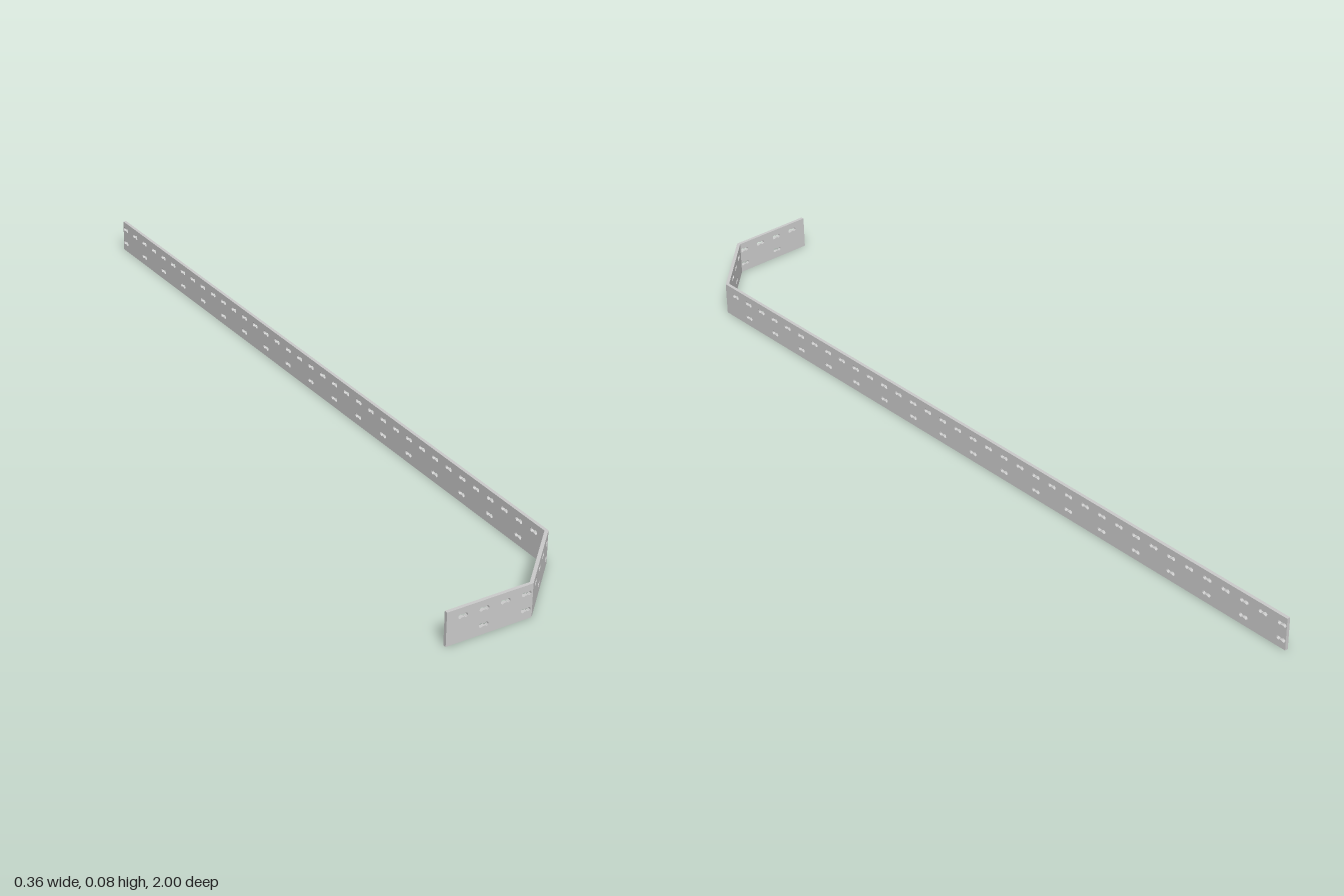
import * as THREE from 'three';

const HEIGHT = 0.08, THICK = 0.008, PITCH = 0.0514, FIRST = 0.039;
const MITRE = THICK * Math.tan(Math.PI / 8);

// Slot with two wide ends and a narrow waist
function slot(cx, cy) {
  const w = 0.0115, h = 0.005, waist = 0.0032, c = 0.003;
  const quarter = [[w, h - c], [w - c, h], [0.006, h], [0.003, waist]];
  const flip = (sx, sy) => quarter.map(([x, y]) => [x * sx, y * sy]);
  const outline = [
    ...flip(1, 1), ...flip(-1, 1).reverse(),
    ...flip(-1, -1), ...flip(1, -1).reverse(),
  ];
  return new THREE.Path(outline.map(([x, y]) => new THREE.Vector2(cx + x, cy + y)));
}

// Perforated strip between two plan points [x, z], outer face to the right of travel
function panel(name, a, b, count, mitreStart, mitreEnd, material) {
  const along = new THREE.Vector3(b[0] - a[0], 0, b[1] - a[1]);
  const length = along.length();
  along.normalize();

  const shape = new THREE.Shape();
  shape.moveTo(0, 0).lineTo(length, 0).lineTo(length, HEIGHT).lineTo(0, HEIGHT).closePath();
  for (let i = 0; i < count; i++) {
    const u = FIRST + i * PITCH;
    shape.holes.push(slot(u, 0.06));
    if (i % 2 === 1) shape.holes.push(slot(u, 0.022));
  }
  const geometry = new THREE.ExtrudeGeometry(shape, { depth: THICK, bevelEnabled: false });
  geometry.translate(0, 0, -THICK);

  // Shorten the inner face so neighbouring panels meet in a mitre
  const p = geometry.attributes.position;
  for (let i = 0; i < p.count; i++) {
    if (p.getZ(i) > -THICK / 2) continue;
    if (mitreStart && p.getX(i) < 1e-5) p.setX(i, MITRE);
    if (mitreEnd && p.getX(i) > length - 1e-5) p.setX(i, length - MITRE);
  }
  geometry.computeVertexNormals();

  const up = new THREE.Vector3(0, 1, 0);
  const out = new THREE.Vector3().crossVectors(along, up);
  geometry.applyMatrix4(new THREE.Matrix4().makeBasis(along, up, out).setPosition(a[0], 0, a[1]));
  const mesh = new THREE.Mesh(geometry, material);
  mesh.name = name;
  return mesh;
}

export function createModel() {
  const group = new THREE.Group();
  group.name = 'bentPerforatedStrip';
  const material = new THREE.MeshStandardMaterial({ color: 0xcccccc, flatShading: true });

  // Plan of the outer face: short end, 45 degree bend, long run
  const end = [-0.179, 1], bendA = [0.03, 1], bendB = [0.179, 0.851], tail = [0.179, -1];
  group.add(
    panel('shortEndPanel', end, bendA, 4, false, true, material),
    panel('diagonalPanel', bendA, bendB, 4, true, true, material),
    panel('longPanel', bendB, tail, 36, true, false, material),
  );
  return group;
}
